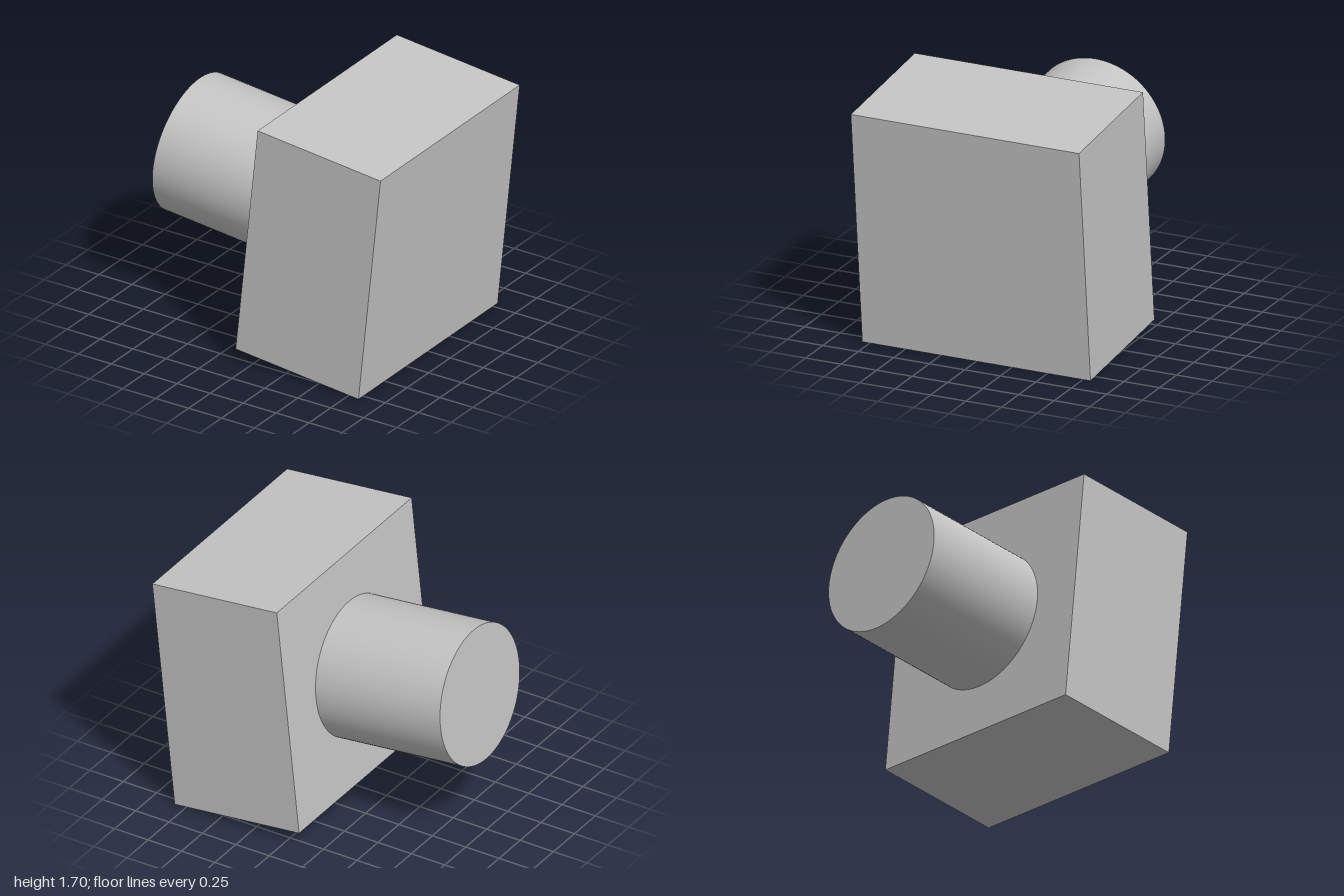
import * as THREE from 'three';

export function createModel() {
  const model = new THREE.Group();
  const grey = new THREE.MeshStandardMaterial({ color: 0xc4c4c4 });
  grey.name = 'plain grey';

  const size = 1.607;   // height and depth of the square block
  const length = 0.937; // block thickness, shaft length and shaft diameter

  // The whole assembly leans about 6 degrees around z
  const tilted = new THREE.Group();
  tilted.name = 'tiltedAssembly';
  tilted.position.set(0.449, 0.849, 0);
  tilted.rotation.z = -THREE.MathUtils.degToRad(5.97);
  model.add(tilted);

  // Square block
  const block = new THREE.Mesh(new THREE.BoxGeometry(length, size, size), grey);
  block.name = 'block';
  tilted.add(block);

  // Round shaft standing out of the block's -x face
  const shaft = new THREE.Mesh(
    new THREE.CylinderGeometry(length / 2, length / 2, length, 96), grey);
  shaft.name = 'shaft';
  shaft.rotation.z = Math.PI / 2;
  shaft.position.x = -length;
  tilted.add(shaft);

  return model;
}
